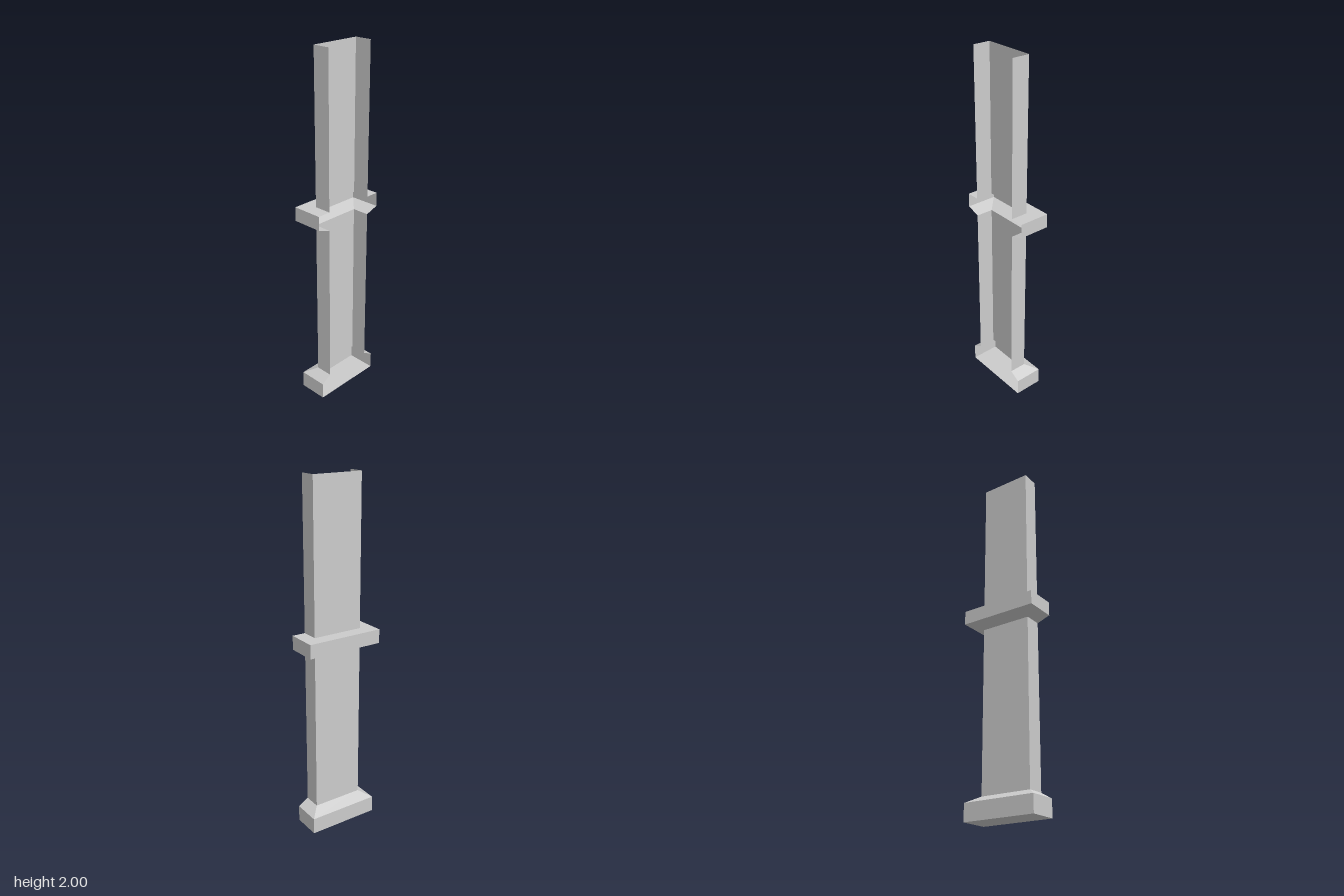
import * as THREE from 'three';

const OPEN_X = 0.088; // plane of the open side

// Section of the half pillar: back wall x, half depth z, height y
const SHAFT = [-0.011, 0.147];
const BASE = [-0.075, 0.208];
const BAND = [-0.088, 0.223];

const at = ([x, z], y) => [
  [OPEN_X, y, z], [x, y, z], [x, y, -z], [OPEN_X, y, -z],
];

// Joins a stack of three-sided open sections, from bottom to top
function loft(sections) {
  const pos = [];
  for (let s = 0; s < sections.length - 1; s++) {
    const a = sections[s], b = sections[s + 1];
    for (let i = 0; i < 3; i++) {
      pos.push(...a[i + 1], ...a[i], ...b[i]);
      pos.push(...a[i + 1], ...b[i], ...b[i + 1]);
    }
  }
  const geometry = new THREE.BufferGeometry();
  geometry.setAttribute('position', new THREE.Float32BufferAttribute(pos, 3));
  geometry.computeVertexNormals();
  return geometry;
}

export function createModel() {
  const group = new THREE.Group();
  const material = new THREE.MeshStandardMaterial({
    color: 0xcccccc, side: THREE.DoubleSide, flatShading: true,
  });
  const add = (name, geometry) => {
    const mesh = new THREE.Mesh(geometry, material);
    mesh.name = name;
    group.add(mesh);
    return mesh;
  };

  // Plinth with sloped shoulder
  add('base', loft([at(BASE, 0), at(BASE, 0.095), at(SHAFT, 0.13)]));

  // Underside of the plinth
  const floor = add('baseFloor', new THREE.PlaneGeometry(OPEN_X - BASE[0], 2 * BASE[1]));
  floor.rotation.x = Math.PI / 2;
  floor.position.x = (OPEN_X + BASE[0]) / 2;

  // Hollow shaft below and above the band
  add('lowerShaft', loft([at(SHAFT, 0.13), at(SHAFT, 1.057)]));
  add('upperShaft', loft([at(SHAFT, 1.162), at(SHAFT, 2)]));

  // Projecting band: sloped underside, upright face, flat ledge
  add('band', loft([at(SHAFT, 1.057), at(BAND, 1.083), at(BAND, 1.162), at(SHAFT, 1.162)]));

  return group;
}
